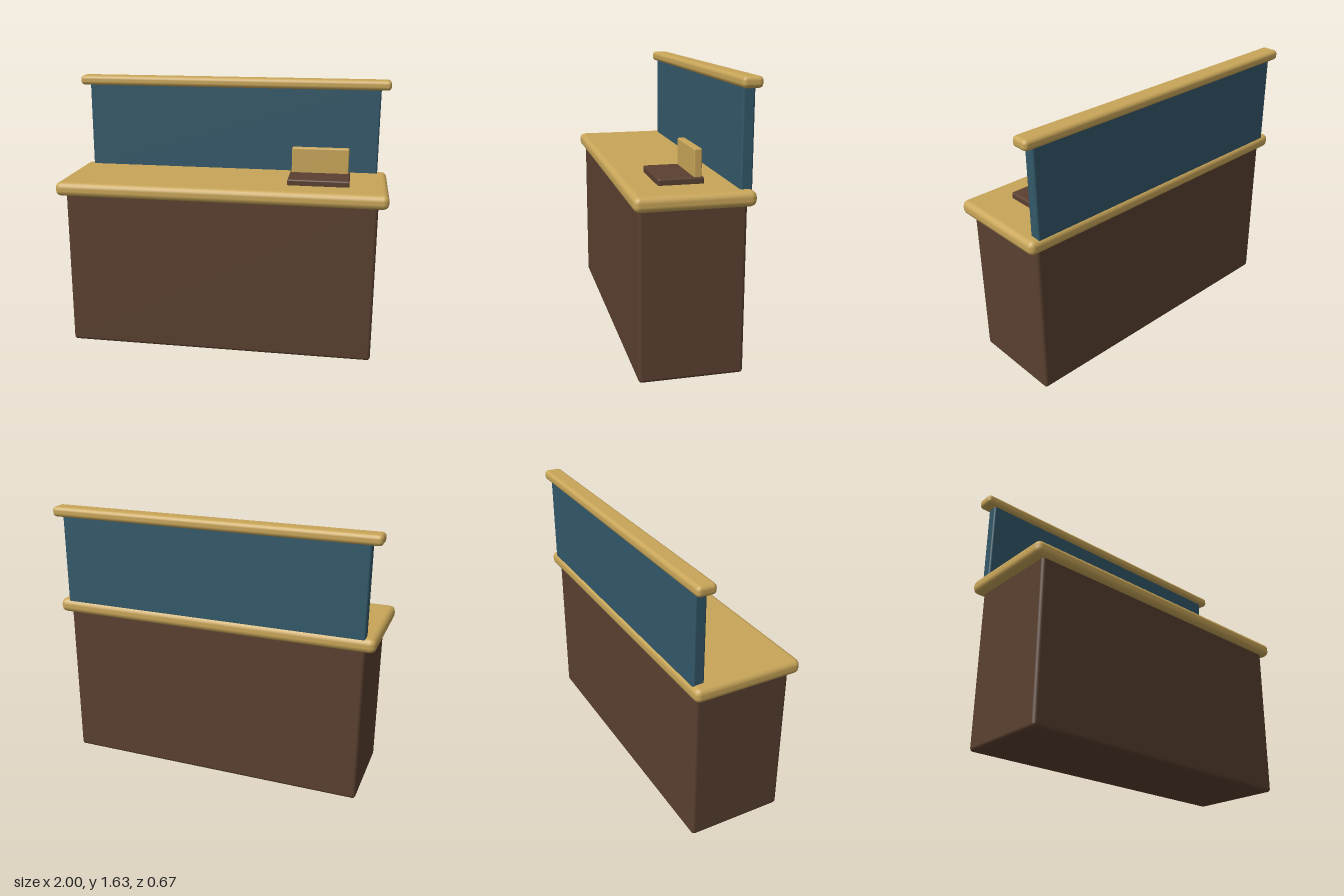
import * as THREE from 'three';
import { RoundedBoxGeometry } from 'three/addons/geometries/RoundedBoxGeometry.js';

export function createModel() {
  const group = new THREE.Group();
  const mat = (color) => new THREE.MeshStandardMaterial({ color });
  const wood = mat(0xc9a659);
  const brown = mat(0x5a4030);
  const blue = mat(0x335869);

  // Softly rounded block given by its [min, max] extents
  function block(name, material, [x0, x1], [y0, y1], [z0, z1], radius) {
    const geometry = new RoundedBoxGeometry(x1 - x0, y1 - y0, z1 - z0, 2, radius);
    const mesh = new THREE.Mesh(geometry, material);
    mesh.name = name;
    mesh.position.set((x0 + x1) / 2, (y0 + y1) / 2, (z0 + z1) / 2);
    group.add(mesh);
  }

  // Counter
  block('counterBody', brown, [-0.94, 0.94], [0, 0.98], [-0.287, 0.3], 0.02);
  block('countertop', wood, [-1, 1], [0.96, 1.046], [-0.322, 0.333], 0.035);

  // Rear screen and its cap
  block('backScreen', blue, [-0.94, 0.94], [1.02, 1.6], [-0.31, -0.242], 0.012);
  block('topRail', wood, [-1, 1], [1.572, 1.634], [-0.333, -0.22], 0.024);

  // Small stand on the counter
  block('standBase', brown, [0.4, 0.77], [1.035, 1.082], [-0.1, 0.156], 0.01);
  block('standPanel', wood, [0.41, 0.76], [1.06, 1.236], [-0.088, -0.043], 0.008);

  return group;
}
